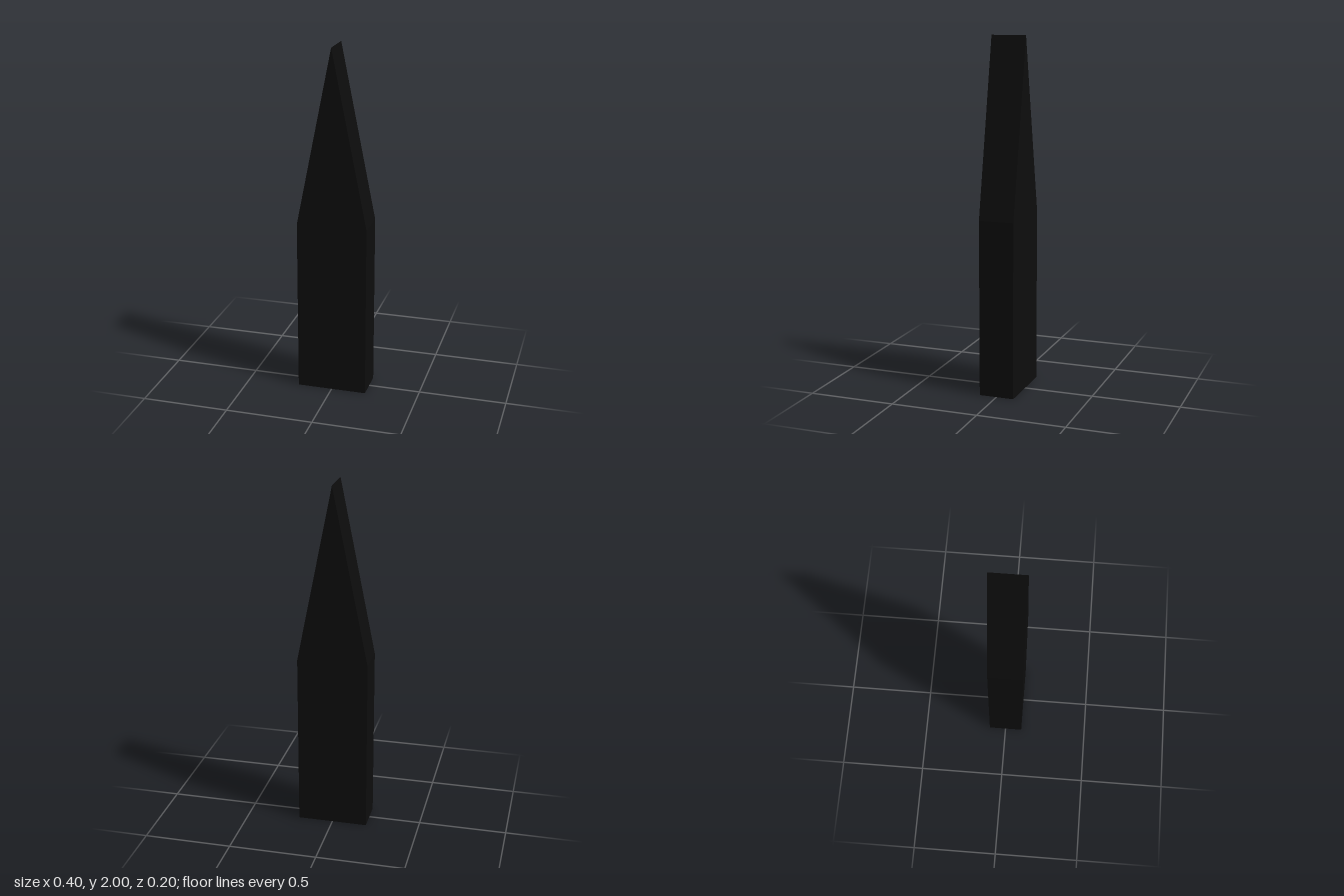
import * as THREE from 'three';

const HALF_WIDTH = 0.2;
const DEPTH = 0.2;
const SHOULDER = 1;
const HEIGHT = 2;

export function createModel() {
  const group = new THREE.Group();
  group.name = 'pointedPost';

  // Outline of the post: straight sides rising to a long gabled tip
  const outline = new THREE.Shape([
    new THREE.Vector2(-HALF_WIDTH, 0),
    new THREE.Vector2(HALF_WIDTH, 0),
    new THREE.Vector2(HALF_WIDTH, SHOULDER),
    new THREE.Vector2(0, HEIGHT),
    new THREE.Vector2(-HALF_WIDTH, SHOULDER),
  ]);

  // One solid of even thickness, centred front to back
  const geometry = new THREE.ExtrudeGeometry(outline, { depth: DEPTH, bevelEnabled: false });
  geometry.translate(0, 0, -DEPTH / 2);

  const post = new THREE.Mesh(
    geometry,
    new THREE.MeshStandardMaterial({ color: 0x0d0d0d })
  );
  post.name = 'post';
  group.add(post);

  return group;
}
